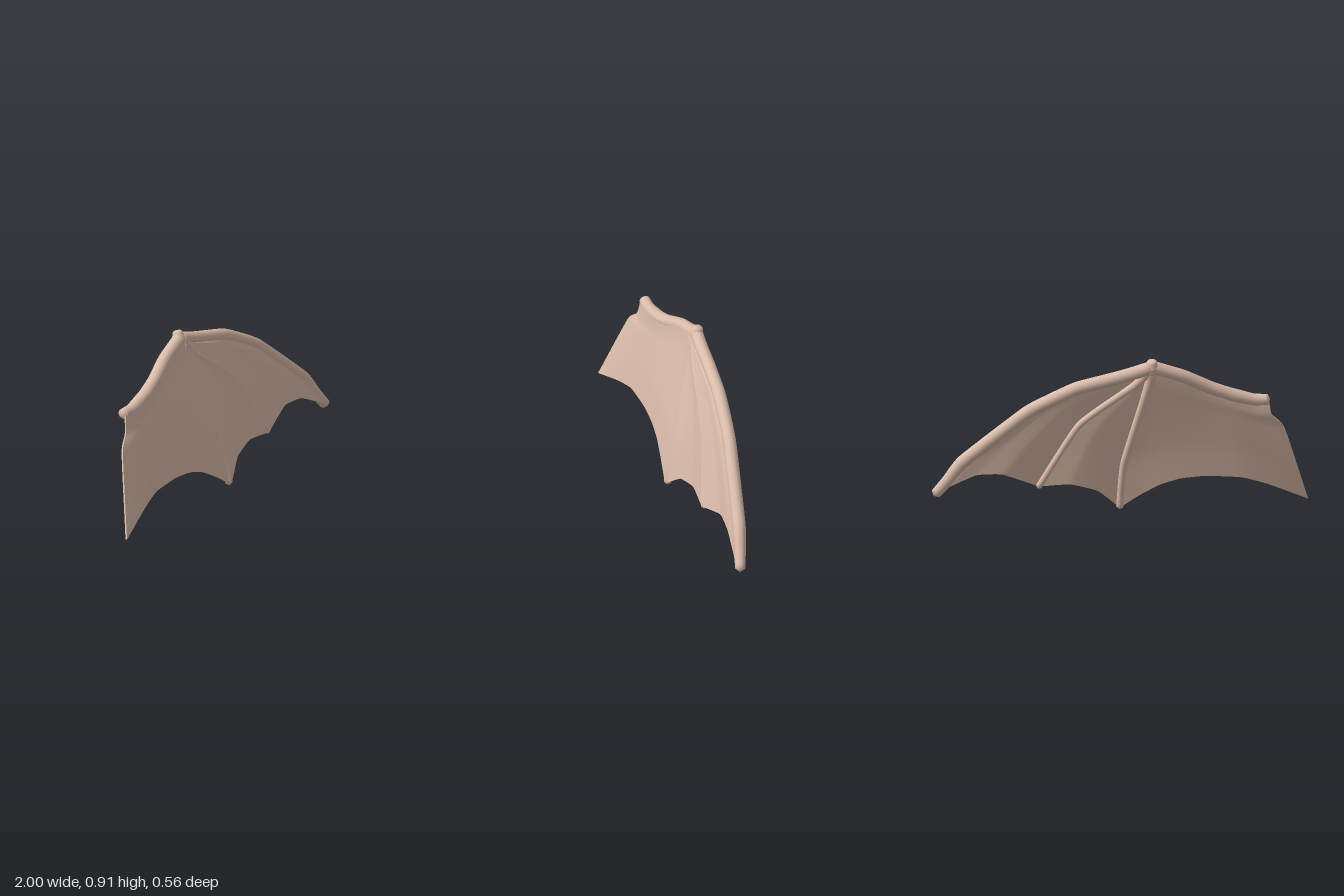
import * as THREE from 'three';
import { mergeVertices, toCreasedNormals } from 'three/addons/utils/BufferGeometryUtils.js';

const skin = new THREE.MeshStandardMaterial({ color: 0xdabcaa });
const web = new THREE.MeshStandardMaterial({ color: 0xdabcaa, side: THREE.DoubleSide });

// Curve through points; low tension keeps the joints angular
const curve = (pts, tension = 0.25) => new THREE.CatmullRomCurve3(
  pts.map(p => (p.isVector3 ? p : new THREE.Vector3(...p))), false, 'catmullrom', tension);

// Same points moved by an offset
const shift = (pts, x, y, z) => pts.map(p => [p[0] + x, p[1] + y, p[2] + z]);

// Rounded tube whose radius follows a list of evenly spaced values
function bone(name, pts, radii, segments = 56, sides = 14) {
  const path = curve(pts), length = path.getLength();
  const geo = new THREE.TubeGeometry(path, segments, 1, sides);
  const pos = geo.attributes.position, v = new THREE.Vector3();
  for (let i = 0; i < pos.count; i++) {
    const t = Math.floor(i / (sides + 1)) / segments;
    const f = t * (radii.length - 1), k = Math.min(Math.floor(f), radii.length - 2);
    let r = THREE.MathUtils.lerp(radii[k], radii[k + 1], f - k);
    const d = Math.min(t, 1 - t) * length / (r * 0.5);
    if (d < 1) r *= Math.sqrt(1 - (1 - d) ** 2);
    const c = path.getPointAt(t);
    v.fromBufferAttribute(pos, i).sub(c).multiplyScalar(r).add(c);
    pos.setXYZ(i, v.x, v.y, v.z);
  }
  geo.deleteAttribute('uv');
  geo.deleteAttribute('normal');
  const merged = mergeVertices(geo, 1e-5);
  merged.computeVertexNormals();
  const mesh = new THREE.Mesh(merged, skin);
  mesh.name = name;
  return mesh;
}

// Thin skin stretched between two side edges, an upper edge and a scalloped lower edge
function membrane(name, leftPts, rightPts, upperMids, lowerMids, n = 36, thickness = 0.01) {
  const left = curve(leftPts), right = curve(rightPts);
  const [l0, l1, r0, r1] = [left.getPoint(0), left.getPoint(1), right.getPoint(0), right.getPoint(1)];
  const upper = curve([l0, ...upperMids, r0], 0.4);
  const lower = curve([l1, ...lowerMids, r1], 0.2);
  const verts = [], index = [];
  for (let j = 0; j <= n; j++) {
    const v = j / n, a = left.getPointAt(v), b = right.getPointAt(v);
    for (let i = 0; i <= n; i++) {
      const u = i / n;
      const p = upper.getPointAt(u).multiplyScalar(1 - v)
        .addScaledVector(lower.getPointAt(u), v)
        .addScaledVector(a, 1 - u).addScaledVector(b, u)
        .addScaledVector(l0, -(1 - u) * (1 - v)).addScaledVector(r0, -u * (1 - v))
        .addScaledVector(l1, -(1 - u) * v).addScaledVector(r1, -u * v);
      verts.push(p.x, p.y, p.z);
      if (i < n && j < n) {
        const k = j * (n + 1) + i, d = k + n + 1;
        index.push(k, d, k + 1, k + 1, d, d + 1);
      }
    }
  }
  const geo = new THREE.BufferGeometry();
  geo.setAttribute('position', new THREE.Float32BufferAttribute(verts, 3));
  geo.setIndex(index);
  geo.computeVertexNormals();

  // Back layer, then a rim along the free left and lower edges
  const count = verts.length / 3, normal = geo.attributes.normal.array;
  const back = verts.map((c, i) => c - normal[i] * thickness);
  const backIndex = index.map(k => k + count).reverse();
  const rim = [];
  for (let i = 0; i < n; i++) {
    const a = i * (n + 1), b = a + n + 1, c = n * (n + 1) + i, d = c + 1;
    rim.push(a, a + count, b, b, a + count, b + count);
    rim.push(c, c + count, d, d, c + count, d + count);
  }
  geo.deleteAttribute('normal');
  geo.setAttribute('position', new THREE.Float32BufferAttribute([...verts, ...back], 3));
  geo.setIndex([...index, ...backIndex, ...rim]);
  const mesh = new THREE.Mesh(toCreasedNormals(geo, 0.8), web);
  mesh.name = name;
  return mesh;
}

export function createModel() {
  const wing = new THREE.Group();
  wing.name = 'wing';

  // Bone centre lines, from shoulder to wrist and from wrist to finger tips
  const arm = [[-0.822, 0.648, 0.05], [-0.73, 0.65, 0.033], [-0.6, 0.688, 0.0], [-0.5, 0.73, -0.035],
    [-0.36, 0.805, -0.093], [-0.19, 0.868, -0.15]];
  const leading = [[-0.21, 0.868, -0.15], [-0.1, 0.832, -0.168], [0, 0.804, -0.188], [0.2, 0.752, -0.219],
    [0.34, 0.685, -0.233], [0.48, 0.606, -0.242], [0.82, 0.325, -0.244], [0.91, 0.21, -0.238], [0.988, 0.115, -0.228]];
  const middle = [[-0.19, 0.85, -0.145], [-0.1, 0.75, -0.128], [0.2, 0.52, -0.134], [0.435, 0.142, -0.107]];
  const inner = [[-0.2, 0.85, -0.14], [-0.18, 0.76, -0.115], [-0.03, 0.28, -0.02], [0.002, 0, 0.038]];

  wing.add(
    bone('armBone', arm, [0.03, 0.036, 0.036, 0.036, 0.036]),
    bone('leadingFinger', leading, [0.036, 0.036, 0.036, 0.036, 0.036, 0.036, 0.028], 72),
    bone('middleFinger', middle, [0.026, 0.02, 0.019, 0.018, 0.018]),
    bone('innerFinger', inner, [0.03, 0.022, 0.021, 0.02, 0.02]),
    bone('wristKnob', [[-0.2, 0.82, -0.142], [-0.2, 0.87, -0.153], [-0.2, 0.91, -0.164]], [0.03, 0.038, 0.024], 24),
  );

  // Membranes run over the front of the bones and meet above the wrist
  const wrist = [-0.195, 0.868, -0.112];
  const along = (pts, x, y, z, end) => [wrist, ...shift(pts.slice(1, -1), x, y, z), end];
  const innerFront = along(inner, 0, 0, 0.022, [0, 0.012, 0.05]);
  const innerSide = along(inner, 0.008, 0, 0.02, [0.005, 0.012, 0.048]);
  const middleFront = along(middle, 0, 0, 0.02, [0.43, 0.155, -0.094]);
  const middleSide = along(middle, 0.006, 0.004, 0.018, [0.435, 0.157, -0.096]);
  const leadingFront = along(leading, -0.01, -0.01, 0.032, [0.965, 0.135, -0.205]);
  const bodyEdge = [[-0.81, 0.668, 0.068], [-0.825, 0.555, 0.088], [-0.89, 0.47, 0.13], [-1, 0.032, 0.278]];

  wing.add(
    membrane('bodyMembrane', bodyEdge, innerFront, shift(arm.slice(1, 5), 0, 0.008, 0.036),
      [[-0.79, 0.13, 0.197], [-0.65, 0.178, 0.145], [-0.46, 0.192, 0.1], [-0.33, 0.18, 0.076],
        [-0.22, 0.147, 0.062], [-0.1, 0.08, 0.055]]),
    membrane('innerMembrane', innerSide, middleFront, [],
      [[0.03, 0.035, 0.035], [0.12, 0.122, -0.02], [0.26, 0.166, -0.07]]),
    membrane('outerMembrane', middleSide, leadingFront, [],
      [[0.46, 0.17, -0.108], [0.62, 0.238, -0.17], [0.76, 0.234, -0.19], [0.91, 0.165, -0.205]]),
  );
  return wing;
}
